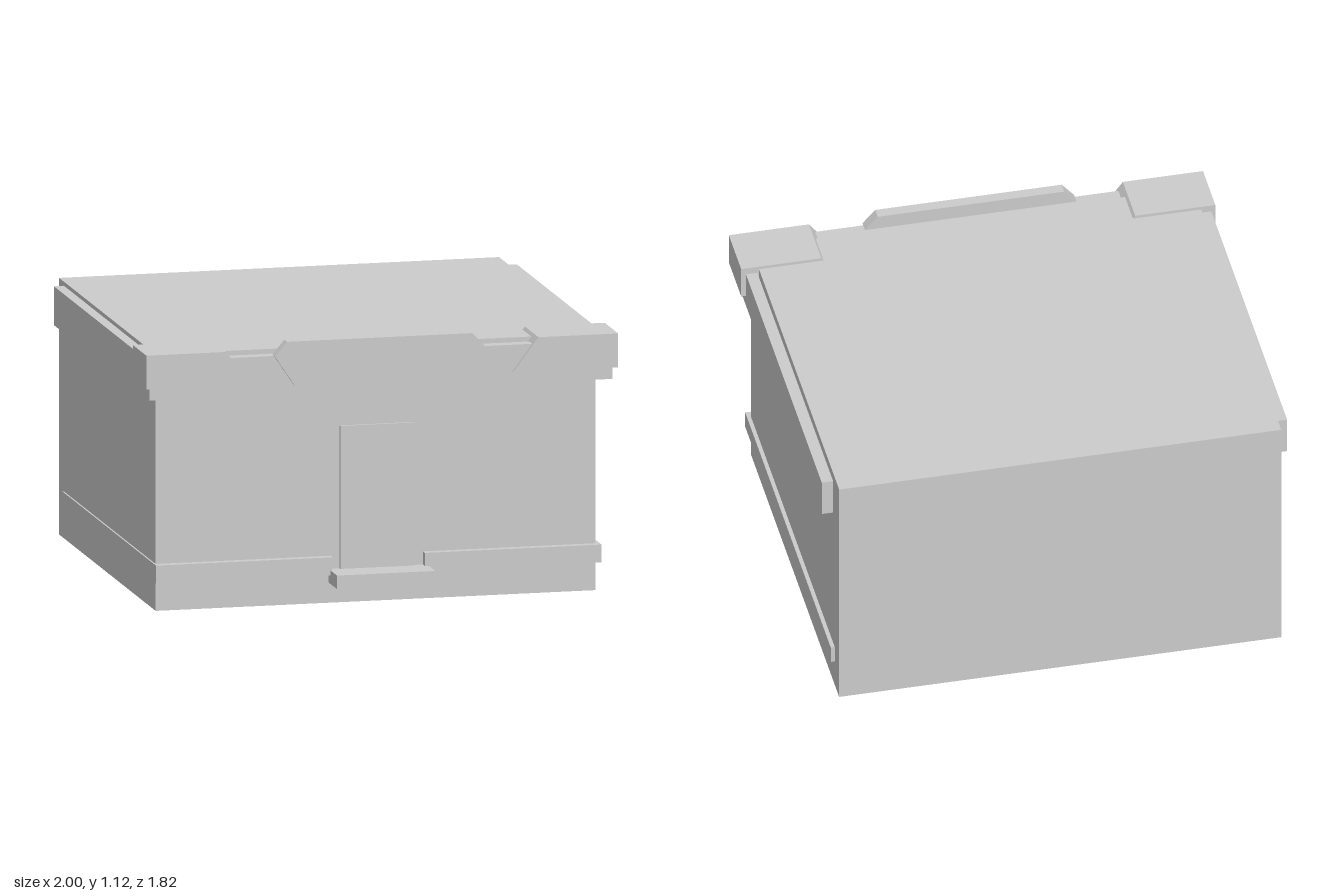
import * as THREE from 'three';

export function createModel() {
  const model = new THREE.Group();
  const material = new THREE.MeshStandardMaterial({ color: 0xcccccc, flatShading: true });

  const add = (name, geometry) => {
    const mesh = new THREE.Mesh(geometry, material);
    mesh.name = name;
    model.add(mesh);
  };

  // Box given by its limits on each axis
  const box = (name, [x0, x1], [y0, y1], [z0, z1]) => {
    const g = new THREE.BoxGeometry(x1 - x0, y1 - y0, z1 - z0);
    g.translate((x0 + x1) / 2, (y0 + y1) / 2, (z0 + z1) / 2);
    add(name, g);
  };

  // Front outline extruded between two depths
  const slab = (name, points, [z0, z1]) => {
    const shape = new THREE.Shape(points.map(([x, y]) => new THREE.Vector2(x, y)));
    const g = new THREE.ExtrudeGeometry(shape, { depth: z1 - z0, bevelEnabled: false });
    g.translate(0, 0, z0);
    add(name, g);
  };

  // Main block
  box('building', [-0.94, 0.925], [0, 1.077], [-0.91, 0.765]);

  // Door and its step
  box('door', [-0.16, 0.155], [0.14, 0.742], [0.75, 0.777]);
  box('doorStep', [-0.207, 0.21], [0.085, 0.142], [0.75, 0.912]);

  // Cornice strips, the front one standing slightly off the wall
  const corniceY = [0.897, 1.06];
  box('corniceFront', [-0.983, 0.98], corniceY, [0.78, 0.833]);
  box('corniceRight', [-0.983, -0.938], corniceY, [-0.827, 0.78]);
  box('corniceLeft', [0.932, 0.98], corniceY, [-0.827, 0.78]);

  // Low band round the front and sides, broken at the door
  const bandY = [0.122, 0.197];
  box('bandFrontRight', [-0.947, -0.198], bandY, [0.75, 0.8]);
  box('bandFrontLeft', [0.193, 0.942], bandY, [0.75, 0.8]);
  box('bandRight', [-0.947, -0.93], bandY, [-0.827, 0.75]);
  box('bandLeft', [0.915, 0.942], bandY, [-0.827, 0.75]);

  // Corner caps with slanted inner ends
  for (const [side, s] of [['Right', -1], ['Left', 1]]) {
    slab('cornerCap' + side,
      [[s, 0.948], [s * 0.555, 0.948], [s * 0.662, 1.09], [s, 1.09]], [0.615, 0.85]);
  }

  // Central sign panel
  slab('signPanel', [
    [-0.37, 0.933], [0.355, 0.933], [0.437, 1.06],
    [0.383, 1.12], [-0.403, 1.12], [-0.455, 1.06],
  ], [0.8, 0.848]);

  return model;
}
